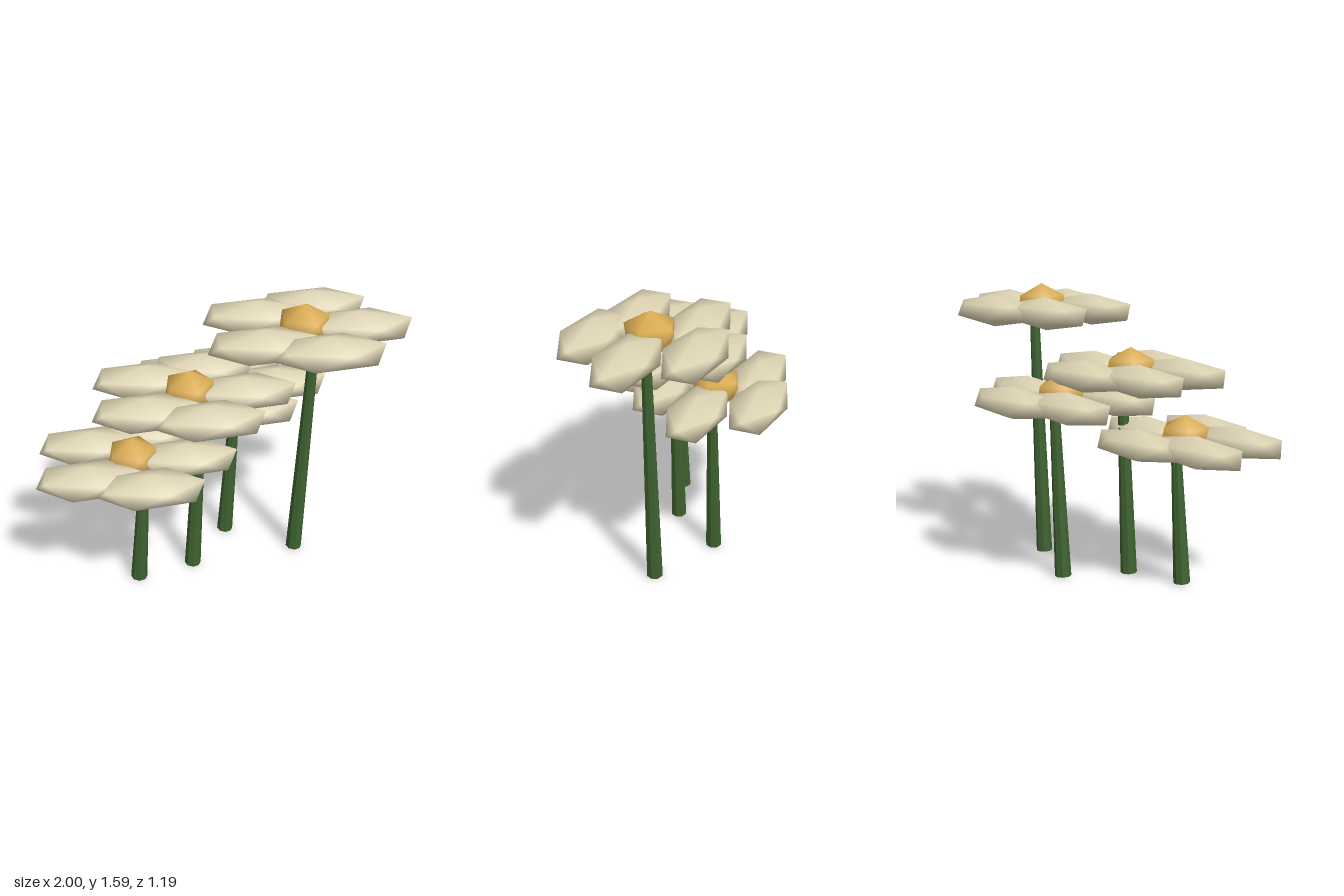
import * as THREE from 'three';

const mat = (name, color, extra = {}) => {
  const m = new THREE.MeshStandardMaterial({ color, ...extra });
  m.name = name;
  return m;
};

// 20-sided ball with its poles on y: two staggered rings of five between two tips
function gem(rx, ry, rz) {
  const pos = [0, ry, 0], index = [];
  const h = 1 / Math.sqrt(5), r = 2 * h;
  for (const [offset, y] of [[0, h], [0.5, -h]]) {
    for (let k = 0; k < 5; k++) {
      const a = (k + offset) * Math.PI * 0.4;
      pos.push(r * Math.cos(a) * rx, y * ry, r * Math.sin(a) * rz);
    }
  }
  pos.push(0, -ry, 0);
  for (let k = 0; k < 5; k++) {
    const n = (k + 1) % 5;
    const u = 1 + k, un = 1 + n, l = 6 + k, ln = 6 + n;
    index.push(0, un, u, u, un, l, un, ln, l, 11, l, ln);
  }
  const g = new THREE.BufferGeometry();
  g.setAttribute('position', new THREE.Float32BufferAttribute(pos, 3));
  g.setIndex(index);
  g.computeVertexNormals();
  return g;
}

export function createModel() {
  const model = new THREE.Group();
  model.name = 'flowers';
  const petalMat = mat('cream petal', 0xded4b4);
  const centreMat = mat('golden centre', 0xdfb056);
  const stemMat = mat('green stem', 0x3e6230, { flatShading: true });
  const petalGeo = gem(0.316, 0.087, 0.154);
  const centreGeo = gem(0.145, 0.116, 0.145);

  // x, z, height of the petals, head size
  const flowers = [
    [0.427, 0, 1.451, 1.012],
    [-0.181, 0.1, 1.146, 1],
    [0.035, -0.203, 1.015, 1],
    [-0.495, 0.195, 0.81, 0.99],
  ];

  for (const [x, z, h, size] of flowers) {
    const flower = new THREE.Group();
    flower.name = 'flower';
    flower.position.set(x, 0, z);

    // tapered stem leaning a little toward +x
    const lean = 0.065;
    const stem = new THREE.Mesh(new THREE.CylinderGeometry(0.026, 0.046, h, 8), stemMat);
    stem.name = 'stem';
    stem.position.set(lean / 2, h / 2 + 0.005, 0);
    stem.rotation.z = -Math.atan2(lean, h);
    flower.add(stem);

    const head = new THREE.Group();
    head.name = 'flowerHead';
    head.position.y = h;
    head.scale.setScalar(size);
    for (let i = 0; i < 5; i++) {
      const a = i * Math.PI * 0.4;
      const petal = new THREE.Mesh(petalGeo, petalMat);
      petal.name = 'petal';
      petal.position.set(0.28 * Math.cos(a), 0, 0.28 * Math.sin(a));
      head.add(petal);
    }
    const centre = new THREE.Mesh(centreGeo, centreMat);
    centre.name = 'flowerCentre';
    centre.position.y = 0.023;
    head.add(centre);
    flower.add(head);
    model.add(flower);
  }
  return model;
}
